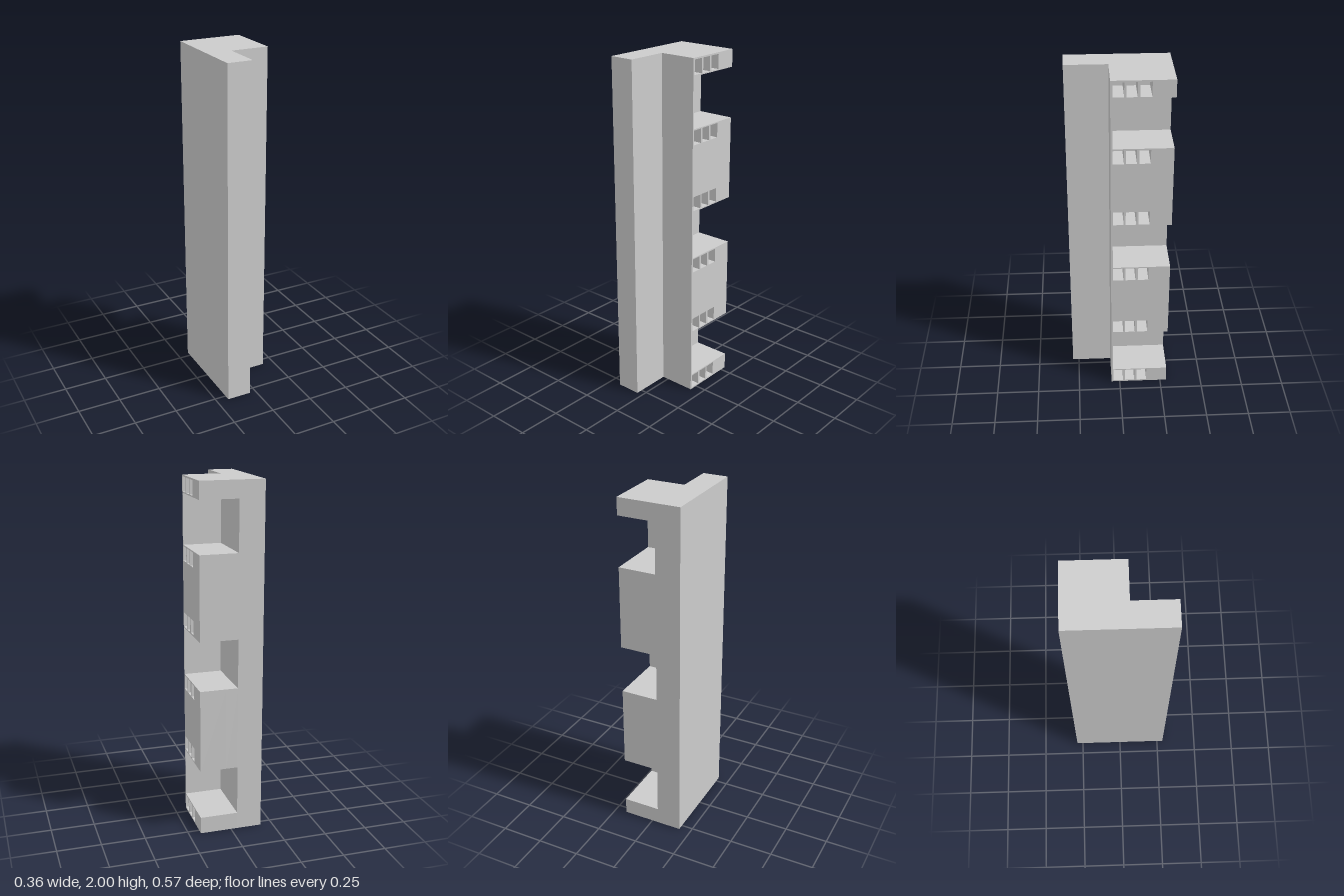
import * as THREE from 'three';

const material = new THREE.MeshStandardMaterial({ color: 0xcccccc, flatShading: true });

const H = 2;                                  // full height
const X0 = -0.181, XS = -0.037, X1 = 0.181;   // outer wall, spine face, open side
const BACK = -0.287, FRONT = 0.287;
const STEP = 0.05, PLATE = 0.04;              // thin front plate lies between these z values
const POCKET_DEPTH = 0.15;
const NOTCHES = [[0.098, 0.384], [0.86, 1.14], [1.616, 1.902]];
const POCKET_Z = [[0.039, -0.021], [-0.032, -0.09], [-0.103, -0.164]];
const GAP = 0.007, POCKET_H = 0.082;          // pockets sit just above and below each notch

// Side outline in (-z, y): thin plate with four teeth towards the back
function combShape() {
  const s = new THREE.Shape();
  s.moveTo(-STEP, 0);
  s.lineTo(-BACK, 0);
  for (const [lo, hi] of NOTCHES) {
    s.lineTo(-BACK, lo);
    s.lineTo(-PLATE, lo);
    s.lineTo(-PLATE, hi);
    s.lineTo(-BACK, hi);
  }
  s.lineTo(-BACK, H);
  s.lineTo(-STEP, H);
  s.closePath();
  return s;
}

function rectHole(u0, u1, y0, y1) {
  const p = new THREE.Path();
  p.moveTo(u0, y0);
  p.lineTo(u0, y1);
  p.lineTo(u1, y1);
  p.lineTo(u1, y0);
  p.closePath();
  return p;
}

// Extrude a side outline along x, from x0 to x1
function sideSlab(name, shape, x0, x1) {
  const g = new THREE.ExtrudeGeometry(shape, { depth: x1 - x0, bevelEnabled: false });
  g.rotateY(Math.PI / 2);
  g.translate(x0, 0, 0);
  const mesh = new THREE.Mesh(g, material);
  mesh.name = name;
  return mesh;
}

export function createModel() {
  const model = new THREE.Group();
  model.name = 'notchedPost';

  // Tall plain spine
  const spine = new THREE.Mesh(new THREE.BoxGeometry(XS - X0, H, FRONT - BACK), material);
  spine.position.set((X0 + XS) / 2, H / 2, 0);
  spine.name = 'spine';
  model.add(spine);

  // Solid inner part of the teeth, which closes the pockets
  model.add(sideSlab('innerTeeth', combShape(), XS, X1 - POCKET_DEPTH));

  // Outer part of the teeth, with three pockets beside each notch edge
  const outer = combShape();
  for (const [lo, hi] of NOTCHES) {
    for (const [za, zb] of POCKET_Z) {
      outer.holes.push(rectHole(-za, -zb, lo - GAP - POCKET_H, lo - GAP));
      outer.holes.push(rectHole(-za, -zb, hi + GAP, hi + GAP + POCKET_H));
    }
  }
  model.add(sideSlab('pocketedTeeth', outer, X1 - POCKET_DEPTH, X1));

  return model;
}
